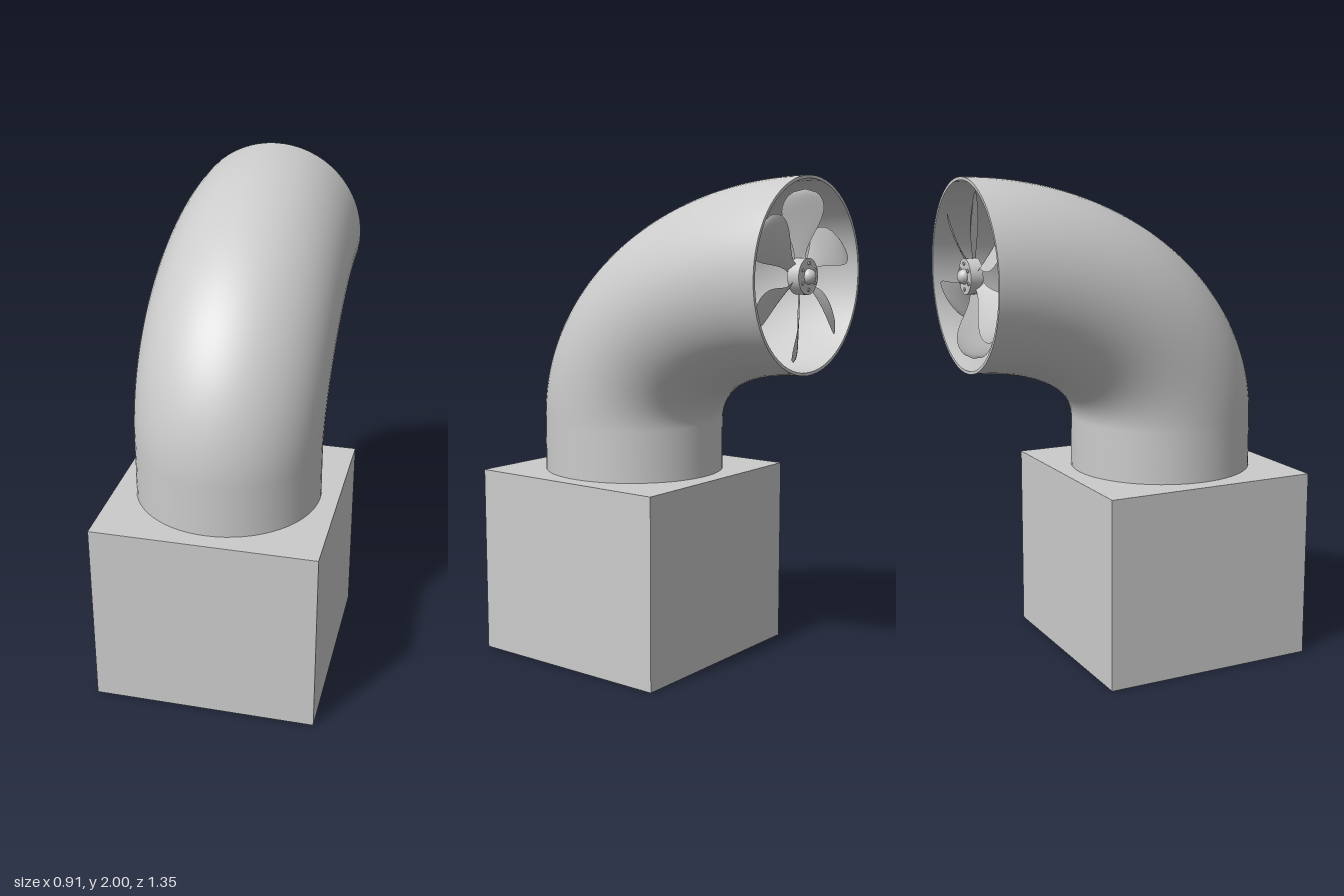
import * as THREE from 'three';

const R = 0.38, WALL = 0.012;              // duct radius and wall thickness
const BASE_Z = 0.22, BASE_TOP = 0.785;
const END_Z = -0.65, BEND_Y = 1.0;         // centre of the elliptical bend
const A = BASE_Z - END_Z, B = 0.62;        // semi-axes of the duct centre line
const FAN_Y = BEND_Y + B;

const grey = new THREE.MeshStandardMaterial({ color: 0xcccccc });
const greyDouble = new THREE.MeshStandardMaterial({ color: 0xcccccc, side: THREE.DoubleSide });

function add(parent, name, geometry, material = grey) {
  const mesh = new THREE.Mesh(geometry, material);
  mesh.name = name;
  parent.add(mesh);
  return mesh;
}

// Skin through circular sections that swing from horizontal to vertical
function ductSkin(radius) {
  const rows = 56, around = 64;
  const positions = [], index = [];
  for (let i = 0; i <= rows; i++) {
    const t = (i - 4) / (rows - 4);
    const a = Math.max(t, 0) * Math.PI / 2;
    const cy = t < 0 ? BASE_TOP + (BEND_Y - BASE_TOP) * (i / 4) : BEND_Y + B * Math.sin(a);
    const cz = END_Z + A * Math.cos(a);
    const halfWidth = radius + 0.01 * Math.sin(2 * a);
    for (let j = 0; j <= around; j++) {
      const p = j / around * Math.PI * 2;
      const d = radius * Math.cos(p);
      positions.push(halfWidth * Math.sin(p), cy + d * Math.sin(a), cz + d * Math.cos(a));
    }
  }
  const w = around + 1;
  for (let i = 0; i < rows; i++) {
    for (let j = 0; j < around; j++) {
      const k = i * w + j;
      index.push(k, k + 1, k + w, k + 1, k + w + 1, k + w);
    }
  }
  const g = new THREE.BufferGeometry();
  g.setAttribute('position', new THREE.Float32BufferAttribute(positions, 3));
  g.setIndex(index);
  g.computeVertexNormals();
  // share normals across the seam
  const n = g.attributes.normal;
  for (let i = 0; i <= rows; i++) {
    const a = i * w, b = a + around;
    const v = new THREE.Vector3().fromBufferAttribute(n, a)
      .add(new THREE.Vector3().fromBufferAttribute(n, b)).normalize();
    n.setXYZ(a, v.x, v.y, v.z);
    n.setXYZ(b, v.x, v.y, v.z);
  }
  return g;
}

// Blade: narrow root, broad rounded tip, swept sideways and twisted
function bladeGeometry() {
  const g = new THREE.PlaneGeometry(1, 1, 12, 24);
  const p = g.attributes.position;
  for (let i = 0; i < p.count; i++) {
    const u = p.getX(i) * 2;
    const t = p.getY(i) + 0.5;
    const r = 0.055 + 0.275 * t;
    const flare = 0.022 + 0.07 * THREE.MathUtils.smoothstep(t, 0.05, 0.75);
    const round = Math.sqrt(Math.max(0, 1 - Math.pow(Math.max(0, (t - 0.7) / 0.3), 2.5)));
    const c = u * flare * round;
    const pitch = THREE.MathUtils.lerp(0.75, 0.4, t);
    const camber = 0.012 * (1 - u * u) * t * round;
    p.setXYZ(i, c * Math.cos(pitch) + 0.035 * t * t, r, c * Math.sin(pitch) + camber);
  }
  g.computeVertexNormals();
  return g;
}

// Fan modelled facing +z, then turned to face the outlet
function createFan() {
  const fan = new THREE.Group();
  fan.name = 'fan';
  const blade = bladeGeometry();
  for (let i = 0; i < 6; i++) {
    const mesh = add(fan, 'fanBlade', blade, greyDouble);
    mesh.rotation.z = i * Math.PI / 3;
    mesh.position.z = -0.045;
  }
  const hub = add(fan, 'fanHub', new THREE.CylinderGeometry(0.07, 0.07, 0.05, 40));
  hub.rotation.x = Math.PI / 2;
  hub.position.z = -0.03;
  const cap = add(fan, 'hubCap', new THREE.SphereGeometry(0.03, 28, 18));
  cap.position.z = -0.005;
  const bolt = new THREE.CylinderGeometry(0.007, 0.007, 0.006, 12);
  for (let i = 0; i < 6; i++) {
    const a = (i + 0.5) * Math.PI / 3;
    const mesh = add(fan, 'hubBolt', bolt);
    mesh.rotation.x = Math.PI / 2;
    mesh.position.set(0.05 * Math.cos(a), 0.05 * Math.sin(a), -0.003);
  }
  fan.rotation.y = Math.PI;
  fan.position.set(0, FAN_Y, END_Z);
  return fan;
}

export function createModel() {
  const model = new THREE.Group();
  model.name = 'ventilationDuct';

  // Square plinth
  const base = add(model, 'base', new THREE.BoxGeometry(0.91, BASE_TOP, 0.91));
  base.position.set(0, BASE_TOP / 2, BASE_Z);

  // Bent duct: outer skin, lining and outlet rim
  add(model, 'ductOuter', ductSkin(R), greyDouble);
  add(model, 'ductLining', ductSkin(R - WALL), greyDouble);
  const rim = add(model, 'outletRim', new THREE.RingGeometry(R - WALL, R, 64), greyDouble);
  rim.rotation.y = Math.PI;
  rim.position.set(0, FAN_Y, END_Z);

  model.add(createFan());
  return model;
}
